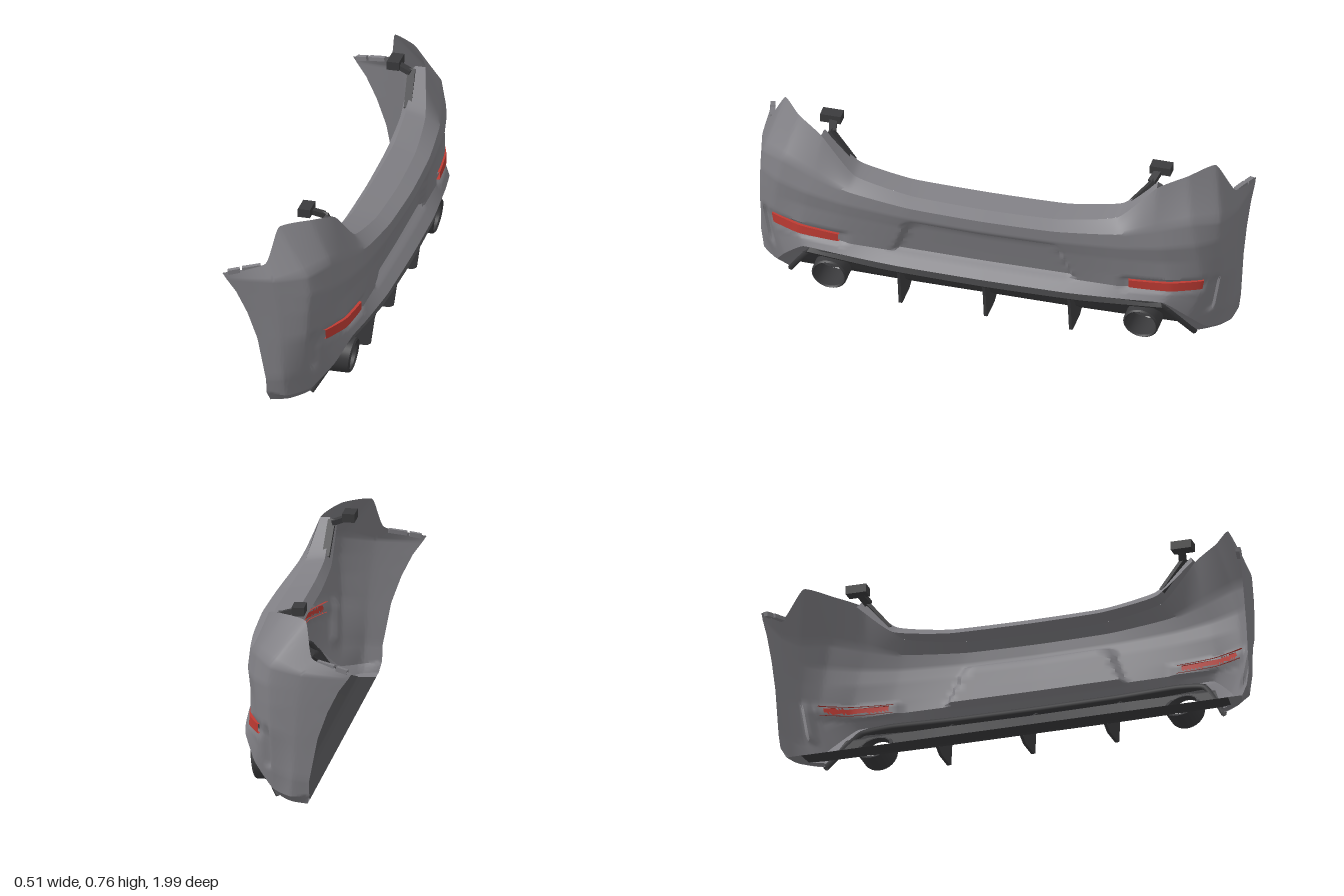
import * as THREE from 'three';
import { toCreasedNormals } from 'three/addons/utils/BufferGeometryUtils.js';

const mat = (name, color) => {
  const m = new THREE.MeshStandardMaterial({ color, side: THREE.DoubleSide });
  m.name = name;
  return m;
};

// Half rows run from the middle (z = 0) to the +z end; the curve is mirrored.
const rowCurve = (half) => {
  const pts = half.map((p) => new THREE.Vector3(...p));
  const mirrored = pts.slice(1).reverse().map((p) => new THREE.Vector3(p.x, p.y, -p.z));
  return new THREE.CatmullRomCurve3([...mirrored, ...pts], false, 'catmullrom', 0.25);
};

// Grid surface from point(i, j), with an optional test that leaves holes.
function gridSurface(nu, nv, point, isHole = () => false) {
  const pos = [], index = [];
  for (let j = 0; j <= nv; j++) for (let i = 0; i <= nu; i++) pos.push(...point(i / nu, j / nv).toArray());
  const vert = (k) => new THREE.Vector3().fromArray(pos, k * 3);
  const tri = (a, b, c) => {
    const mid = vert(a).add(vert(b)).add(vert(c)).divideScalar(3);
    if (!isHole(mid)) index.push(a, b, c);
  };
  for (let j = 0; j < nv; j++) for (let i = 0; i < nu; i++) {
    const a = j * (nu + 1) + i, b = a + 1, c = a + nu + 1, d = c + 1;
    tri(a, c, b);
    tri(b, c, d);
  }
  const g = new THREE.BufferGeometry();
  g.setAttribute('position', new THREE.Float32BufferAttribute(pos, 3));
  g.setIndex(index);
  return toCreasedNormals(g, 0.6);
}

// Point on a ruled surface between neighbouring row curves.
const lofted = (curves) => (u, v) => {
  const s = v * (curves.length - 1), k = Math.min(Math.floor(s), curves.length - 2);
  return curves[k].getPoint(u).lerp(curves[k + 1].getPoint(u), s - k);
};

// Bumper skin rows, from the lower opening edge to the top edge
const lowerEdge = [[.2, .22, 0], [.195, .22, .35], [.18, .22, .6], [.165, .2, .72], [.11, .1, .79], [.06, .02, .835], [0, .02, .92], [-.07, .02, .95]];
const lowerLip = [[.255, .24, 0], [.25, .24, .35], [.23, .24, .6], [.21, .235, .74], [.16, .15, .83], [.08, .06, .885], [0, .05, .958], [-.08, .06, .972]];
const lampLow = [[.21, .28, 0], [.207, .28, .35], [.205, .28, .6], [.19, .27, .76], [.143, .22, .86], [.072, .14, .92], [-.01, .13, .973], [-.08, .12, .98]];
const lampHigh = [[.22, .34, 0], [.217, .34, .35], [.207, .335, .6], [.187, .335, .76], [.14, .33, .88], [.08, .32, .95], [-.02, .3, .978], [-.115, .3, .982]];
const middle = [[.235, .42, 0], [.23, .42, .35], [.215, .42, .58], [.19, .42, .74], [.15, .42, .87], [.085, .42, .95], [-.03, .42, .978], [-.155, .41, .985]];
const shoulder = [[.255, .475, 0], [.245, .475, .32], [.225, .48, .57], [.2, .49, .73], [.16, .5, .86], [.09, .5, .945], [-.04, .5, .978], [-.2, .5, .99]];
const crest = [[.255, .525, 0], [.245, .525, .3], [.22, .54, .55], [.19, .57, .7], [.15, .6, .84], [.08, .58, .94], [-.05, .56, .978], [-.24, .555, .995]];
const topEdge = [[.2, .545, 0], [.19, .548, .3], [.165, .585, .54], [.125, .727, .69], [.055, .758, .8], [-.053, .754, .885], [-.09, .62, .955], [-.255, .578, .995]];

export function createModel() {
  const model = new THREE.Group();
  model.name = 'rearBumper';
  const paint = mat('grey paint', 0x807f84);
  const plastic = mat('dark plastic', 0x3b3b3d);
  const red = mat('red reflector', 0xbe3b33);
  const add = (name, geometry, material) => {
    const mesh = new THREE.Mesh(geometry, material);
    mesh.name = name;
    model.add(mesh);
    return mesh;
  };
  const band = (x, lo, hi, soft) =>
    THREE.MathUtils.smoothstep(x, lo, lo + soft) * (1 - THREE.MathUtils.smoothstep(x, hi - soft, hi));

  // Painted skin with plate recess, reflector pockets and corner grooves
  const skin = lofted([lowerEdge, lowerLip, lampLow, lampHigh, middle, shoulder, crest, topEdge].map(rowCurve));
  add('bumperSkin', gridSurface(168, 42, (u, v) => {
    const p = skin(u, v), z = Math.abs(p.z);
    const plateEdge = 0.38 - (p.y - 0.28) * 0.4;
    p.x -= 0.022 * band(p.y, 0.275, 0.46, 0.015) * band(z, -1, plateEdge, 0.025);
    p.x -= 0.01 * band(p.y, 0.265, 0.335, 0.015) * band(z, 0.56, 0.91, 0.02);
    const grooveZ = 0.925 - (0.31 - p.y) * 0.18;
    p.x -= 0.018 * band(p.y, 0.14, 0.335, 0.03) * band(z, grooveZ - 0.025, grooveZ + 0.02, 0.018);
    return p;
  }, (p) => p.x > 0.1 && Math.abs(p.y - 0.303) < 0.011 && Math.abs(Math.abs(p.z) - 0.735) < 0.125), paint);

  // Top shelf and its turned-down inner flange
  const shelf = lofted([
    topEdge.slice(0, 4),
    [[.1, .56, 0], [.095, .563, .32], [.085, .6, .54], [.085, .73, .685]],
    [[.07, .53, 0], [.065, .533, .32], [.06, .57, .55], [.06, .7, .7]],
  ].map(rowCurve));
  add('topShelf', gridSurface(60, 4, shelf), paint);

  // Dark trim around the lower opening
  const trimPath = rowCurve(lowerEdge.slice(0, 6).map(([x, y, z]) => [x + .005, y - .004, z - .005]));
  add('openingTrim', new THREE.TubeGeometry(trimPath, 100, 0.012, 6), plastic);

  // Diffuser: rear lip, then a face curving into a flat floor, pierced for the exhausts
  const pipeY = 0.1, pipeZ = 0.64;
  const diffuser = lofted([
    [[.2, .217, 0], [.195, .217, .4], [.175, .212, .72]],
    [[.25, .206, 0], [.24, .206, .4], [.195, .2, .73]],
    [[.235, .192, 0], [.225, .192, .4], [.18, .185, .74]],
    [[.17, .175, 0], [.165, .175, .4], [.14, .16, .77]],
    [[.12, .09, 0], [.12, .09, .4], [.1, .09, .8]],
    [[.06, .04, 0], [.06, .04, .4], [.05, .04, .84]],
    [[0, .02, 0], [0, .02, .4], [0, .02, .88]],
    [[-.07, .02, 0], [-.07, .02, .4], [-.07, .02, .89]],
  ].map(rowCurve));
  add('diffuser', gridSurface(180, 56, diffuser,
    (p) => Math.hypot(p.y - pipeY, Math.abs(p.z) - pipeZ) < 0.062), plastic);

  // Diffuser fins
  const finShape = new THREE.Shape([[.215, .205], [.195, .12], [.18, .012], [.165, .004], [.06, .002], [.02, .02], [.06, .04], [.12, .09], [.17, .175]]
    .map(([x, y]) => new THREE.Vector2(x, y)));
  const finGeometry = new THREE.ExtrudeGeometry(finShape, { depth: 0.012, bevelEnabled: false });
  for (const z of [-.35, 0, .35]) add('diffuserFin', finGeometry, plastic).position.z = z - 0.006;

  // Exhaust tips: slanted rear rim, front end cut along the diffuser slope
  const tipGeometry = new THREE.LatheGeometry([[.06, .07], [.06, .185], [.066, .192], [.072, .185], [.072, .07], [.06, .07]]
    .map(([r, y]) => new THREE.Vector2(r, y)), 32).rotateZ(-Math.PI / 2);
  const tip = tipGeometry.attributes.position;
  for (let i = 0; i < tip.count; i++) {
    const x = tip.getX(i), y = tip.getY(i);
    tip.setX(i, x < 0.1 ? 0.105 + 0.8 * y : x + 0.14 * y);
  }
  const exhaustTip = toCreasedNormals(tipGeometry, 0.6);

  // Small box beam between two points
  const beam = (name, from, to, w, h, material) => {
    const a = new THREE.Vector3(...from), b = new THREE.Vector3(...to);
    const mesh = add(name, new THREE.BoxGeometry(w, h, a.distanceTo(b)), material);
    mesh.position.copy(a).add(b).multiplyScalar(0.5);
    mesh.lookAt(b);
  };

  const low = rowCurve(lampLow), high = rowCurve(lampHigh);
  const cornerInner = [[.05, .03, .825], [0, .021, .87], [-.07, .021, .88]];
  for (const side of [1, -1]) {
    add('exhaustTip', exhaustTip, plastic).position.set(0, pipeY, side * pipeZ);

    // Reflector strip following the skin, with edges turned back into its pocket
    add('reflector', gridSurface(20, 3, (s, t) => {
      const u = 0.5 + side * THREE.MathUtils.lerp(1.95, 4.12, s) / 14;
      const a = low.getPoint(u), b = high.getPoint(u);
      const y = t < 0.5 ? 0.285 - 0.003 * s : 0.319 + 0.004 * s;
      const p = a.lerp(b, (y - a.y) / (b.y - a.y));
      const front = t > 0.1 && t < 0.9;
      p.x += front ? 0.003 : -0.014;
      p.z += side * (front ? 0.003 : -0.004);
      return p;
    }), red);

    // Painted underside closing the corner
    const rails = [lowerEdge.slice(5), cornerInner].map((rail) =>
      new THREE.CatmullRomCurve3(rail.map(([x, y, z]) => new THREE.Vector3(x, y, side * z))));
    add('cornerFloor', gridSurface(10, 1, lofted(rails)), paint);

    // Mounting bracket beside each upper corner, with a strap down to the shelf
    beam('bracketBlock', [.005, .742, side * .635], [.005, .742, side * .72], .05, .035, plastic);
    beam('bracketArm', [.015, .735, side * .67], [.075, .715, side * .655], .03, .02, plastic);
    beam('bracketStrap', [.075, .725, side * .665], [.085, .6, side * .565], .03, .014, plastic);

    // Clip tabs on the forward top edge
    beam('clipTab', [-.235, .58, side * .985], [-.19, .59, side * .974], .02, .018, paint);
    beam('clipTab', [-.18, .594, side * .97], [-.11, .607, side * .952], .02, .016, paint);
  }
  return model;
}
